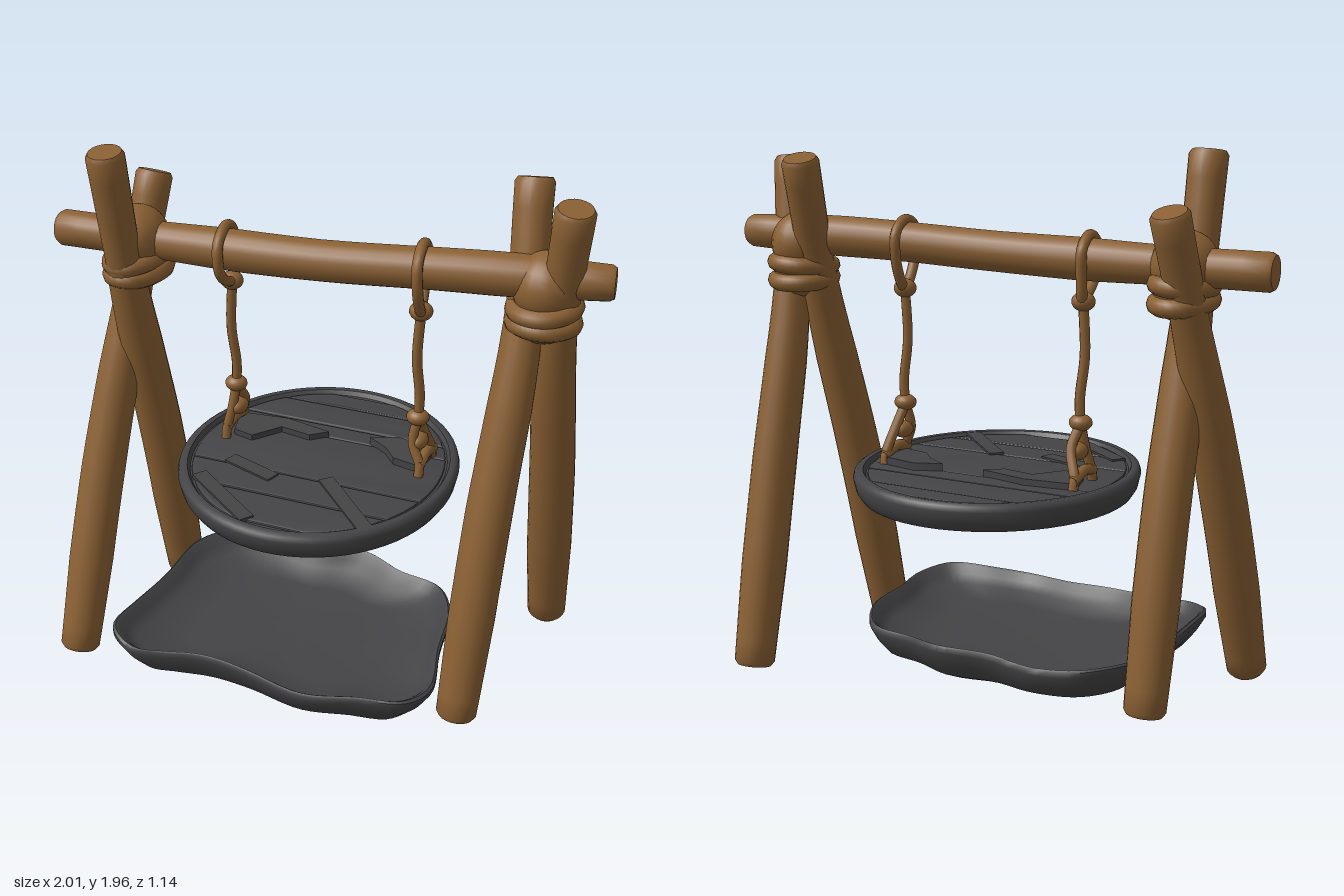
import * as THREE from 'three';
import { toCreasedNormals } from 'three/addons/utils/BufferGeometryUtils.js';

const V = (p) => new THREE.Vector3(...p);

export function createModel() {
  const wood = new THREE.MeshStandardMaterial({ color: 0x8a6033 });
  wood.name = 'wood';
  const slate = new THREE.MeshStandardMaterial({ color: 0x444446 });
  slate.name = 'darkGrey';
  const model = new THREE.Group();

  const add = (name, geometry, material, parent = model) => {
    const mesh = new THREE.Mesh(geometry, material);
    mesh.name = name;
    parent.add(mesh);
    return mesh;
  };

  // Log along a curve, with a changing radius and bevelled flat ends
  const log = (name, points, radii) => {
    const curve = new THREE.CatmullRomCurve3(points.map(V));
    const n = 24, sides = 20;
    const geo = new THREE.TubeGeometry(curve, n, 1, sides);
    const pos = geo.attributes.position, nor = geo.attributes.normal;
    for (let i = 0; i <= n; i++) {
      const end = Math.min(i, n - i);
      const inset = end < 2 ? 0 : end === 2 ? 0.008 : (end - 2) / (n - 4);
      const t = i < n / 2 ? inset : 1 - inset;
      const s = t * (radii.length - 1), k = Math.min(Math.floor(s), radii.length - 2);
      const r = THREE.MathUtils.lerp(radii[k], radii[k + 1], s - k) * [0, 0.86, 1][Math.min(end, 2)];
      const c = curve.getPointAt(t);
      for (let j = 0; j <= sides; j++) {
        const v = i * (sides + 1) + j;
        pos.setXYZ(v, c.x + nor.getX(v) * r, c.y + nor.getY(v) * r, c.z + nor.getZ(v) * r);
      }
    }
    return add(name, toCreasedNormals(geo, 0.7), wood);
  };

  const rope = (name, points, r, closed, parent) => add(name, new THREE.TubeGeometry(
    new THREE.CatmullRomCurve3(points.map(V), closed), closed ? 40 : 20, r, 10, closed), wood, parent);

  const blob = (name, p, size, parent) => {
    const mesh = add(name, new THREE.SphereGeometry(1, 20, 14), wood, parent);
    mesh.position.set(...p);
    mesh.scale.set(...size);
    return mesh;
  };

  // Crossed legs
  const legRadii = [0.074, 0.084, 0.083, 0.078, 0.064, 0.068];
  log('rightFrontLeg', [[-0.82, 0.01, 0.42], [-0.79, 0.75, 0.16], [-0.73, 1.4, -0.06], [-0.7, 1.76, -0.19]], legRadii);
  log('rightBackLeg', [[-0.66, 0.04, -0.2], [-0.67, 0.75, -0.07], [-0.69, 1.4, 0.07], [-0.7, 1.94, 0.16]], legRadii);
  log('leftFrontLeg', [[0.655, 0.01, 0.27], [0.68, 0.75, 0.09], [0.71, 1.4, -0.09], [0.68, 1.9, -0.25]], legRadii);
  log('leftBackLeg', [[0.815, 0.03, -0.45], [0.82, 0.75, -0.28], [0.82, 1.4, -0.13], [0.865, 1.89, -0.035]], legRadii);

  // Cross beam, slightly bowed
  log('crossBeam', [[-1, 1.565, -0.01], [-0.5, 1.57, -0.02], [0, 1.582, -0.03], [0.45, 1.605, -0.065], [1, 1.62, -0.125]],
    [0.066, 0.066, 0.075, 0.072, 0.072, 0.075, 0.06]);

  // Swollen joints with two bindings below each
  const joints = [
    { side: 'right', c: [-0.69, 1.57, -0.01], s: [0.115, 0.12, 0.13], rx: 0.085, rz: 0.135 },
    { side: 'left', c: [0.775, 1.58, -0.11], s: [0.115, 0.12, 0.12], rx: 0.1, rz: 0.105 },
  ];
  for (const { side, c, s, rx, rz } of joints) {
    blob(side + 'Joint', c, s);
    blob(side + 'JointCore', [c[0], 1.48, c[2]], [rx + 0.01, 0.1, rz + 0.01]);
    [1.452, 1.507].forEach((y, k) => {
      const ring = [];
      for (let i = 0; i < 16; i++) {
        const a = (i / 16) * Math.PI * 2;
        ring.push([c[0] + Math.cos(a) * rx, y + 0.008 * Math.sin(a + k * 2), c[2] + Math.sin(a) * rz]);
      }
      rope(side + 'Binding', ring, 0.033, true);
    });
  }

  // Hanging ropes: beam loop, knots, cord and splayed ends
  for (const [side, x, by, bz] of [[-1, -0.35, 1.575, -0.025], [1, 0.36, 1.6, -0.06]]) {
    const g = new THREE.Group();
    g.name = side < 0 ? 'rightRope' : 'leftRope';
    model.add(g);
    const kz = -0.07;
    rope('beamLoop', [[x, by + 0.082, bz], [x + 0.01, by + 0.04, bz + 0.085], [x + 0.015, by - 0.06, bz + 0.085],
      [x + 0.005, 1.44, kz + 0.02], [x - 0.005, 1.44, kz - 0.02], [x - 0.01, by - 0.06, bz - 0.085],
      [x - 0.01, by + 0.04, bz - 0.085]], 0.019, true, g);
    blob('upperKnot', [x, 1.435, kz], [0.042, 0.034, 0.04], g);
    rope('cord', [[x, 1.43, kz], [x - 0.008, 1.25, kz], [x + 0.004, 1.1, kz - 0.01], [x, 1, kz - 0.01]], 0.018, false, g);
    blob('lowerKnot', [x, 1.015, kz - 0.01], [0.042, 0.03, 0.038], g);
    const ex = x + side * 0.025;
    rope('backStrand', [[x, 1.01, kz - 0.01], [x + 0.012, 0.93, -0.13], [ex, 0.84, -0.18], [ex, 0.8, -0.19]], 0.018, false, g);
    rope('frontStrand', [[x, 1.01, kz - 0.01], [x - 0.01, 0.92, -0.06], [ex, 0.84, -0.04], [ex, 0.8, -0.03]], 0.018, false, g);
    rope('foot', [[ex, 0.84, -0.03], [ex, 0.852, -0.11], [ex, 0.83, -0.2]], 0.02, false, g);
    blob('middleKnot', [x + 0.004, 0.915, -0.09], [0.034, 0.032, 0.045], g);
  }

  // Round hanging platform with a raised rim
  const platform = new THREE.Group();
  platform.name = 'platform';
  platform.position.set(0.005, 0, -0.022);
  model.add(platform);
  const profile = [[0, 0.7], [0.45, 0.702], [0.485, 0.712], [0.503, 0.74], [0.513, 0.785], [0.508, 0.803], [0.495, 0.812],
    [0.478, 0.81], [0.468, 0.793], [0, 0.79]].map((p) => new THREE.Vector2(...p));
  const disc = add('platformDisc', toCreasedNormals(new THREE.LatheGeometry(profile, 64), 0.9), slate, platform);
  disc.scale.z = 0.552 / 0.513;

  const plate = (name, pts, y, depth, bevel) => {
    const geo = new THREE.ExtrudeGeometry(new THREE.Shape(pts.map(([px, pz]) => new THREE.Vector2(px, -pz))),
      { depth, bevelEnabled: bevel > 0, bevelSize: bevel, bevelThickness: bevel * 0.6, bevelSegments: 3 });
    geo.rotateX(-Math.PI / 2);
    geo.translate(0, y, 0);
    return add(name, toCreasedNormals(geo, 0.6), slate, platform);
  };

  // Planks cut to the round rim
  for (const [z0, z1] of [[-0.47, -0.395], [-0.375, -0.25], [-0.225, -0.16], [-0.14, 0.14], [0.165, 0.29], [0.315, 0.47]]) {
    const leftSide = [], rightSide = [];
    for (let i = 0; i <= 6; i++) {
      const z = THREE.MathUtils.lerp(z0, z1, i / 6);
      const hx = 0.45 * Math.sqrt(1 - (z / 0.49) ** 2);
      leftSide.push([-hx, z]);
      rightSide.unshift([hx, z]);
    }
    plate('plank', [...leftSide, ...rightSide], 0.788, 0.008, 0.01);
  }

  // Diagonal battens and splintered boards lying on the planks
  for (const [x0, z0, x1, z1] of [[-0.36, 0.27, -0.08, 0.48], [0.08, 0.14, 0.33, 0.4], [-0.3, 0.13, -0.1, 0.2]]) {
    const d = new THREE.Vector2(x1 - x0, z1 - z0).setLength(0.028);
    plate('batten', [[x0 - d.y, z0 + d.x], [x1 - d.y, z1 + d.x], [x1 + d.y, z1 - d.x], [x0 + d.y, z0 - d.x]], 0.795, 0.014, 0);
  }
  plate('splinteredBoard', [[-0.39, -0.17], [-0.2, -0.19], [-0.02, -0.15], [-0.08, -0.1], [-0.2, -0.12], [-0.28, -0.02], [-0.36, -0.04]], 0.8, 0.025, 0);
  plate('splinteredBoard', [[0.14, -0.16], [0.24, -0.2], [0.39, -0.17], [0.37, -0.03], [0.27, -0.05], [0.22, -0.11]], 0.8, 0.03, 0);

  // Wavy dish on the ground: one outline repeated as loops from underside to floor
  const outline = new THREE.CatmullRomCurve3([[-0.635, 0.3], [-0.635, 0.47], [-0.53, 0.55], [-0.4, 0.535], [-0.25, 0.515], [-0.07, 0.525],
    [0.165, 0.565], [0.35, 0.53], [0.52, 0.49], [0.585, 0.37], [0.55, 0.15], [0.52, -0.08], [0.42, -0.24], [0.25, -0.28],
    [0.08, -0.34], [-0.12, -0.31], [-0.3, -0.33], [-0.48, -0.29], [-0.585, -0.16], [-0.61, 0.08]].map(([x, z]) => V([x, 0, z])), true);
  const rings = [[0, 0.05], [0.5, 0.051], [0.8, 0.055], [0.89, 0.075], [0.955, 0.125], [1, 0.175], [1, 0.194], [0.985, 0.2],
    [0.965, 0.192], [0.93, 0.16], [0.87, 0.13], [0.6, 0.112], [0, 0.105]];
  const count = 96, verts = [], index = [];
  const cx = -0.025, cz = 0.12;
  rings.forEach(([s, y], k) => {
    for (let i = 0; i < count; i++) {
      const p = outline.getPoint(i / count);
      const wave = 0.009 * s ** 6 * (Math.sin(i * 0.392) - 0.6) * (k > 3 ? 1 : 0.3);
      verts.push(cx + (p.x - cx) * s, y + wave, cz + (p.z - cz) * s);
      const a = k * count + i, b = k * count + (i + 1) % count;
      if (k < rings.length - 1) index.push(a, b, b + count, a, b + count, a + count);
    }
  });
  const dish = new THREE.BufferGeometry();
  dish.setAttribute('position', new THREE.Float32BufferAttribute(verts, 3));
  dish.setIndex(index);
  add('groundDish', toCreasedNormals(dish, 0.9), slate);

  return model;
}
